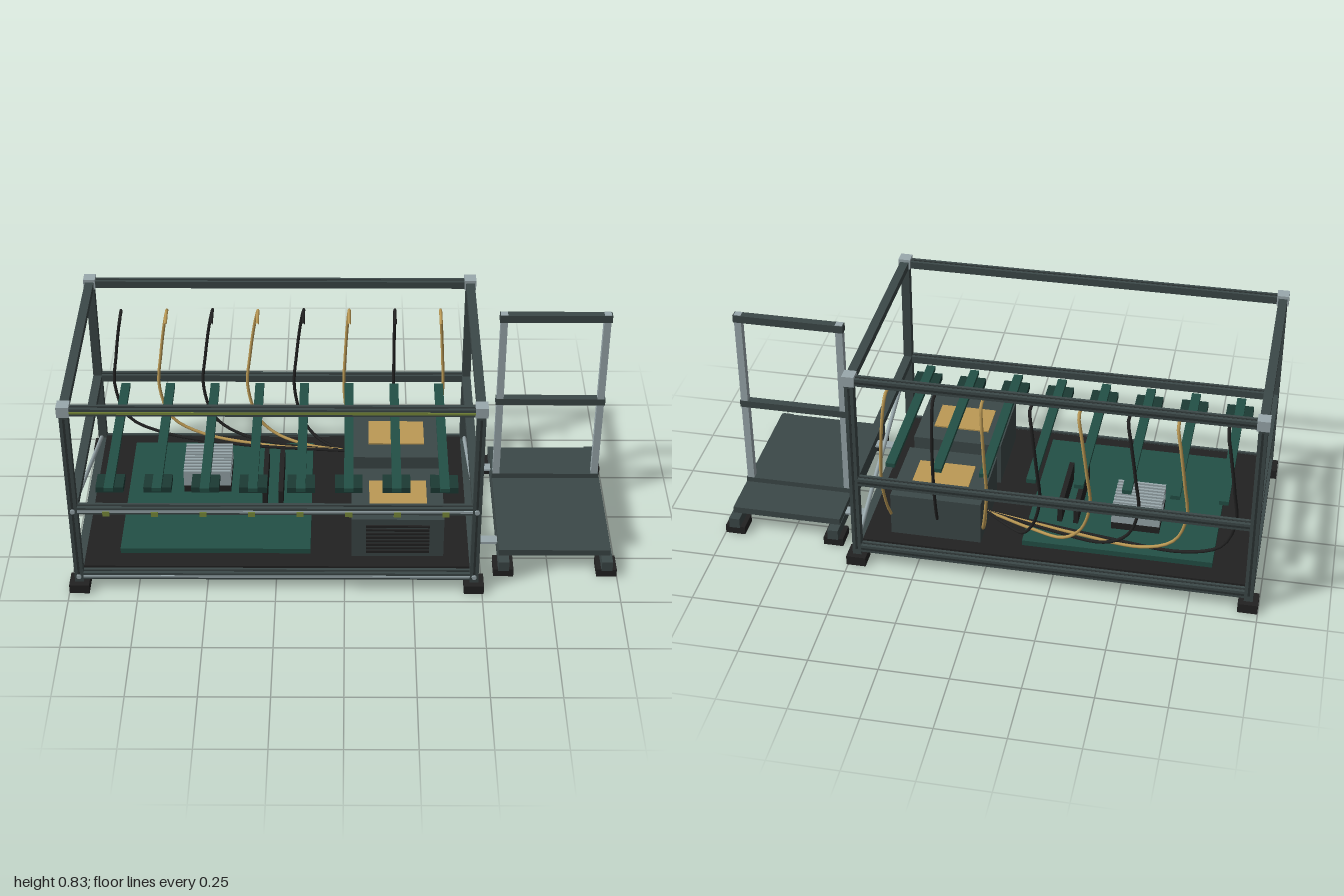
import * as THREE from 'three';

const mat = (name, color) => {
  const m = new THREE.MeshStandardMaterial({ color });
  m.name = name;
  return m;
};

export function createModel() {
  const model = new THREE.Group();
  model.name = 'openFrameRig';
  const slate = mat('slate', 0x3c4848);
  const alu = mat('lightMetal', 0x9aa9ad);
  const black = mat('black', 0x222222);
  const slot = mat('slotDark', 0x2a3232);
  const green = mat('boardGreen', 0x235046);
  const darkGreen = mat('darkGreen', 0x1c3a34);
  const tan = mat('tan', 0xbc9a55);
  const olive = mat('olive', 0x7d8f3c);

  const add = (name, geo, m, x = 0, y = 0, z = 0) => {
    const mesh = new THREE.Mesh(geo, m);
    mesh.name = name;
    mesh.position.set(x, y, z);
    model.add(mesh);
    return mesh;
  };
  // Box given by its minimum and maximum on each axis
  const box = (name, m, x0, x1, y0, y1, z0, z1) =>
    add(name, new THREE.BoxGeometry(x1 - x0, y1 - y0, z1 - z0), m, (x0 + x1) / 2, (y0 + y1) / 2, (z0 + z1) / 2);
  // Box given by its centre and size
  const cbox = (name, m, x, y, z, w, h, d) => add(name, new THREE.BoxGeometry(w, h, d), m, x, y, z);

  const XL = -0.963, XR = 0.47, ZF = 0.42, T = 0.032;
  const XM = (XL + XR) / 2, LX = XR - XL - T, LZ = 2 * ZF - T;

  // Corner posts, feet and top corner blocks
  for (const x of [XL, XR]) {
    for (const z of [-ZF, ZF]) {
      const sx = x === XL ? -1 : 1, sz = Math.sign(z);
      cbox('post', slate, x, 0.41, z, T, 0.75, T);
      cbox('postSlot', slot, x, 0.41, z + sz * T / 2, 0.008, 0.7, 0.002);
      cbox('postSlot', slot, x + sx * T / 2, 0.41, z, 0.002, 0.7, 0.008);
      cbox('foot', black, x, 0.0185, z, 0.072, 0.037, 0.074);
      cbox('cornerBlock', alu, x, 0.791, z, 0.044, 0.04, 0.046);
    }
  }

  // Horizontal rails with slots on their outer faces
  for (const y of [0.064, 0.361, 0.786]) {
    for (const s of [-1, 1]) {
      cbox('longRail', slate, XM, y, s * ZF, LX, 0.028, T);
      cbox('longRailTopSlot', slot, XM, y + 0.014, s * ZF, LX, 0.002, 0.008);
      if (s < 0) cbox('longRailSlot', slot, XM, y, s * (ZF + T / 2), LX, 0.008, 0.002);
      const x = s < 0 ? XL : XR;
      cbox('crossRail', slate, x, y, 0, T, 0.028, LZ);
    }
    // Front strip and end bolts
    const top = y > 0.7;
    cbox('frontStrip', top ? olive : alu, XM, y, ZF + T / 2 + 0.001, LX, 0.009, 0.004);
    if (!top) {
      for (const x of [XL, XR]) {
        const bolt = add('bolt', new THREE.CylinderGeometry(0.009, 0.009, 0.008, 12), alu, x, y, ZF + T / 2 + 0.003);
        bolt.rotation.x = Math.PI / 2;
      }
    }
  }

  // Floor panel and circuit board
  box('floorPanel', black, XL + T / 2, XR - T / 2, 0.056, 0.086, -0.404, 0.404);
  box('mainBoard', green, -0.82, -0.125, 0.086, 0.107, -0.33, 0.33);

  // Finned cooler
  box('coolerBase', black, -0.61, -0.432, 0.107, 0.135, -0.195, -0.015);
  box('coolerCore', slot, -0.605, -0.437, 0.135, 0.175, -0.19, -0.02);
  for (let i = 0; i < 10; i++) cbox('coolerFin', alu, -0.521, 0.168, -0.19 + i * 0.0189, 0.178, 0.066, 0.009);

  // Upright cards
  for (const x of [-0.3, -0.24]) box('uprightCard', black, x - 0.009, x + 0.009, 0.107, 0.183, -0.19, 0.085);

  // Two cabinets with pale top plates
  for (const s of [-1, 1]) {
    cbox('cabinet', slate, 0.193, 0.1705, s * 0.19, 0.335, 0.169, 0.31);
    cbox('cabinetTopPlate', tan, 0.195, 0.2575, s * 0.19, 0.21, 0.006, 0.145);
  }
  // Front louvres
  for (let i = 0; i < 8; i++) cbox('louvre', black, 0.193, 0.11 + i * 0.0165, 0.347, 0.23, 0.009, 0.008);

  // Slats with brackets and clips, and a cable behind each
  for (let i = 0; i < 8; i++) {
    const x = -0.845 + i * 0.172;
    box('slat', green, x - 0.017, x + 0.017, 0.372, 0.388, -0.335, 0.335);
    box('slatBracket', darkGreen, x - 0.05, x + 0.05, 0.349, 0.372, 0.23, 0.31);
    cbox('railClip', olive, x, 0.352, ZF + T / 2 + 0.003, 0.025, 0.02, 0.006);

    const bow = Math.max(-0.05, Math.min(0.02, (x - 0.185) * 0.12));
    const pts = [
      [x, 0.69, -0.28], [x, 0.705, -0.34], [x, 0.7, -0.37],
      [x + bow * 0.3, 0.63, -0.392], [x + bow * 0.75, 0.48, -0.398], [x + bow, 0.34, -0.385],
    ];
    if (i < 6) {
      const run = 0.03 - x;
      pts.push([x + bow * 0.4 + run * 0.02, 0.21, -0.362]);
      pts.push([x + run * 0.15, 0.15, -0.34]);
      pts.push([x + run * 0.5, 0.132, -0.285]);
      pts.push([0.03, 0.145, -0.225]);
    } else {
      pts.push([x + bow * 0.5, 0.22, -0.36], [x, 0.17, -0.343]);
    }
    const path = new THREE.CatmullRomCurve3(pts.map(p => new THREE.Vector3(...p)));
    add('cable', new THREE.TubeGeometry(path, 40, 0.006, 6), i % 2 ? tan : black);
  }

  // Diagonal braces on both ends
  for (const x of [XL, XR]) {
    const path = new THREE.LineCurve3(new THREE.Vector3(x, 0.35, 0.38), new THREE.Vector3(x, 0.102, -0.373));
    add('brace', new THREE.TubeGeometry(path, 1, 0.008, 8), alu);
  }

  // Side platform on two beams with four feet
  box('platform', slate, 0.565, 0.975, 0.07, 0.095, -0.32, 0.32);
  for (const x of [0.583, 0.962]) {
    box('platformBeam', slate, x - 0.02, x + 0.02, 0.03, 0.07, -0.36, 0.36);
    for (const z of [-0.313, 0.313]) cbox('platformFoot', black, x, 0.016, z, 0.074, 0.032, 0.084);
  }
  // Link bars joining platform to frame
  for (const z of [-0.225, 0.225]) box('linkBar', alu, 0.37, 0.75, 0.064, 0.072, z - 0.02, z + 0.02);

  // Guard rail
  for (const x of [0.58, 0.957]) {
    cbox('guardPost', alu, x, 0.45, -0.136, 0.026, 0.72, 0.028);
    cbox('guardPostCap', alu, x, 0.83, -0.136, 0.026, 0.003, 0.026);
  }
  for (const [y, h] of [[0.105, 0.02], [0.449, 0.027], [0.815, 0.029]]) {
    cbox('guardBar', slate, 0.769, y, -0.136, 0.41, h, 0.03);
  }
  return model;
}
